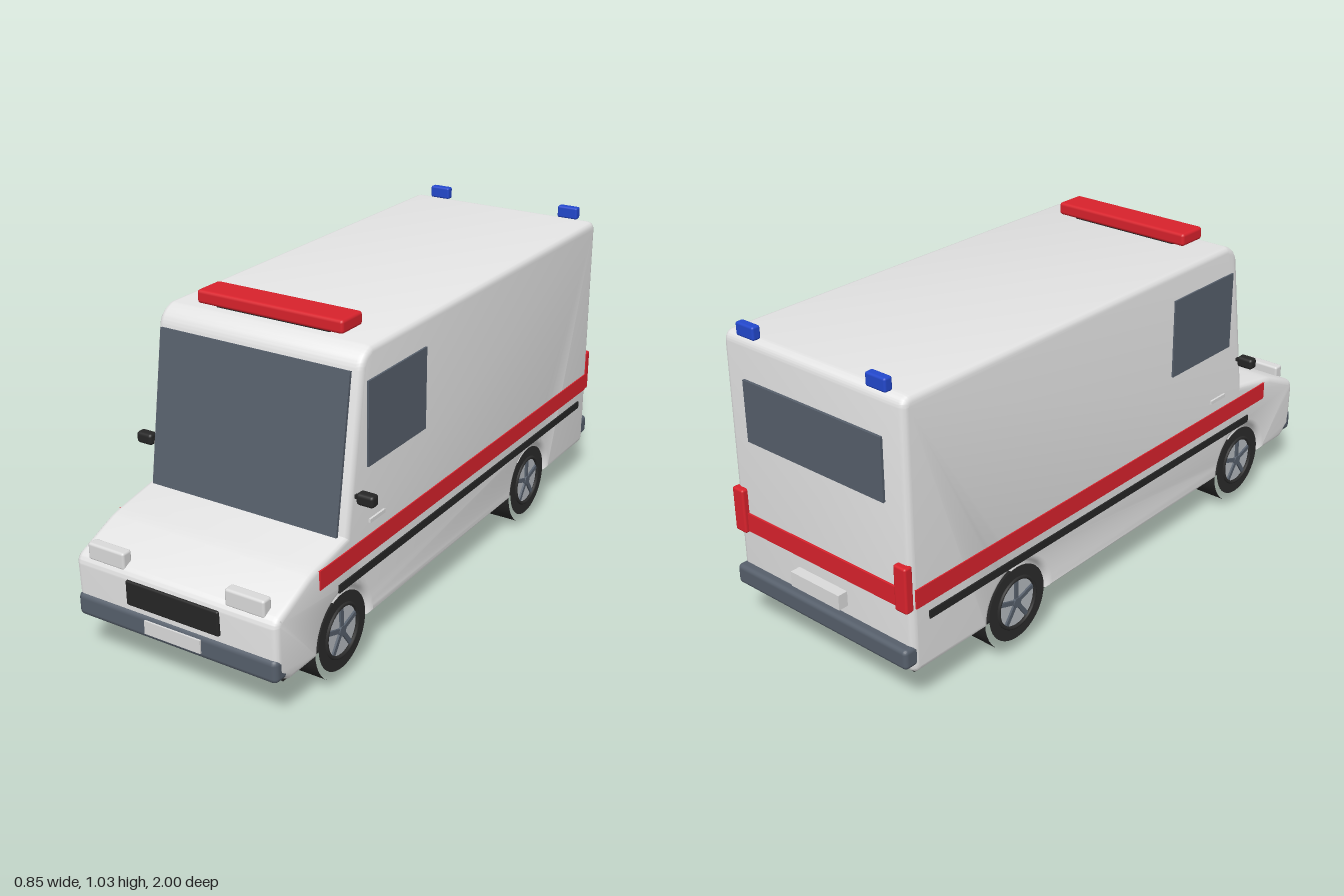
import * as THREE from 'three';
import { toCreasedNormals } from 'three/addons/utils/BufferGeometryUtils.js';
import { RoundedBoxGeometry } from 'three/addons/geometries/RoundedBoxGeometry.js';

const mat = (name, color, side = THREE.FrontSide) => {
  const m = new THREE.MeshStandardMaterial({ color, side });
  m.name = name;
  return m;
};

export function createModel() {
  const van = new THREE.Group();
  van.name = 'emergencyVan';

  const white = mat('white paint', 0xe4e4e4);
  const lampWhite = mat('pale lamp', 0xdadada);
  const red = mat('red', 0xd8222c);
  const blue = mat('blue', 0x2348cc);
  const slate = mat('slate glass', 0x565f6b);
  const black = mat('black', 0x262626);
  const silver = mat('silver', 0xb4b9be, THREE.DoubleSide);
  const tyreSide = mat('tyre sidewall', 0x2b2b2b, THREE.DoubleSide);

  const add = (name, geometry, material, x = 0, y = 0, z = 0, parent = van) => {
    const m = new THREE.Mesh(geometry, material);
    m.name = name;
    m.position.set(x, y, z);
    parent.add(m);
    return m;
  };
  // Boxes are given by their limits: [x0, x1], [y0, y1], [z0, z1]
  const box = (name, material, [x0, x1], [y0, y1], [z0, z1], r = 0) => {
    const s = [x1 - x0, y1 - y0, z1 - z0];
    const g = r ? new RoundedBoxGeometry(...s, 2, r) : new THREE.BoxGeometry(...s);
    return add(name, g, material, (x0 + x1) / 2, (y0 + y1) / 2, (z0 + z1) / 2);
  };
  // The same box on both sides of the van
  const pair = (name, material, [x0, x1], y, z, r) => {
    box(name + 'Left', material, [x0, x1], y, z, r);
    box(name + 'Right', material, [-x1, -x0], y, z, r);
  };

  // Body: side profile with wheel arches, extruded across the width
  const wheelY = 0.147, wheelR = 0.147, axles = [-0.523, 0.657];
  const archR = 0.133, bottom = 0.132;
  const s = new THREE.Shape();
  s.moveTo(0.985, 0.17);
  s.lineTo(0.99, 0.315);
  s.quadraticCurveTo(0.99, 0.34, 0.965, 0.352);
  s.lineTo(0.84, 0.405);
  s.quadraticCurveTo(0.82, 0.413, 0.78, 0.42);
  s.lineTo(0.645, 0.445);
  s.lineTo(0.57, 0.92);
  s.quadraticCurveTo(0.562, 0.965, 0.51, 0.98);
  s.lineTo(-0.93, 0.98);
  s.quadraticCurveTo(-0.963, 0.98, -0.964, 0.945);
  s.lineTo(-0.967, 0.165);
  s.quadraticCurveTo(-0.966, bottom, -0.94, bottom);
  const dip = Math.asin((wheelY - bottom) / archR);
  for (const z of axles) s.absarc(z, wheelY, archR, Math.PI + dip, -dip, true);
  s.lineTo(0.93, bottom);
  s.closePath();
  const bevel = 0.02, halfW = 0.357;
  const bodyGeo = new THREE.ExtrudeGeometry(s, {
    depth: 2 * (halfW - bevel), curveSegments: 16,
    bevelSize: bevel, bevelThickness: bevel, bevelOffset: -bevel, bevelSegments: 3,
  });
  bodyGeo.translate(0, 0, -(halfW - bevel));
  bodyGeo.rotateY(-Math.PI / 2);
  add('body', toCreasedNormals(bodyGeo, 0.6), white);
  box('floor', black, [-0.335, 0.335], [0.125, 0.134], [-0.945, 0.935]);

  // Glass
  const windshield = add('windshield', new THREE.BoxGeometry(0.664, 0.484, 0.009), slate, 0, 0.683, 0.62);
  windshield.rotation.x = -Math.atan2(0.075, 0.475);
  pair('sideWindow', slate, [0.355, 0.363], [0.625, 0.885], [0.22, 0.54]);
  box('rearWindow', slate, [-0.275, 0.275], [0.655, 0.85], [-0.973, -0.964]);

  // Stripes and side trim
  pair('sideStripe', red, [0.353, 0.361], [0.345, 0.405], [-0.95, 0.785]);
  pair('sideTrim', black, [0.353, 0.362], [0.29, 0.315], [-0.9, 0.69]);
  box('rearStripe', red, [-0.33, 0.33], [0.345, 0.405], [-0.973, -0.964]);
  pair('doorHandle', lampWhite, [0.352, 0.364], [0.444, 0.456], [0.45, 0.53]);

  // Front end
  box('frontBumper', slate, [-0.356, 0.356], [0.147, 0.223], [0.93, 0.995], 0.018);
  box('frontPlate', lampWhite, [-0.1, 0.1], [0.167, 0.21], [0.992, 1.0]);
  box('grille', black, [-0.165, 0.165], [0.24, 0.32], [0.975, 0.997], 0.006);
  pair('headlight', lampWhite, [0.178, 0.312], [0.337, 0.392], [0.945, 0.982], 0.008);

  // Mirrors on short stems
  pair('mirror', black, [0.368, 0.426], [0.54, 0.577], [0.583, 0.618], 0.01);
  pair('mirrorStem', black, [0.335, 0.372], [0.553, 0.564], [0.594, 0.606]);

  // Rear end
  box('rearBumper', slate, [-0.356, 0.356], [0.16, 0.225], [-0.996, -0.94], 0.014);
  pair('tailLamp', red, [0.31, 0.357], [0.34, 0.485], [-0.985, -0.955], 0.007);
  box('rearPlate', lampWhite, [-0.1, 0.1], [0.255, 0.303], [-1.0, -0.96]);

  // Roof lights
  box('roofLightBar', red, [-0.256, 0.256], [0.988, 1.03], [0.4, 0.506], 0.01);
  box('lightBarMount', black, [-0.2, 0.2], [0.975, 0.992], [0.42, 0.486]);
  pair('rearBeacon', blue, [0.22, 0.295], [0.978, 1.02], [-0.965, -0.936], 0.007);

  // Wheels: open tread band, sidewall rings, silver hub with five dark spokes
  const tread = new THREE.CylinderGeometry(wheelR, wheelR, 0.11, 40, 1, true).rotateZ(Math.PI / 2);
  const wall = new THREE.RingGeometry(0.08, 0.123, 40).rotateY(Math.PI / 2);
  const rim = new THREE.TorusGeometry(0.082, 0.006, 8, 40).rotateY(Math.PI / 2);
  const hub = new THREE.CircleGeometry(0.082, 40).rotateY(Math.PI / 2);
  const cap = new THREE.CylinderGeometry(0.016, 0.016, 0.012, 20).rotateZ(Math.PI / 2);
  for (const side of [1, -1]) for (const z of axles) {
    const w = new THREE.Group();
    w.name = (z > 0 ? 'front' : 'rear') + 'Wheel' + (side > 0 ? 'Left' : 'Right');
    w.position.set(side * 0.298, wheelY, z);
    w.rotation.y = side > 0 ? 0 : Math.PI;
    van.add(w);
    add('tread', tread, black, 0, 0, 0, w);
    add('sidewall', wall, tyreSide, 0.05, 0, 0, w);
    add('rim', rim, tyreSide, 0.05, 0, 0, w);
    add('hub', hub, silver, 0.044, 0, 0, w);
    add('hubCap', cap, slate, 0.047, 0, 0, w);
    for (let i = 0; i < 5; i++) {
      const spoke = new THREE.BoxGeometry(0.007, 0.07, 0.014).translate(0, 0.045, 0);
      add('spoke', spoke, slate, 0.047, 0, 0, w).rotation.x = (i * 2 * Math.PI) / 5;
    }
  }
  return van;
}
